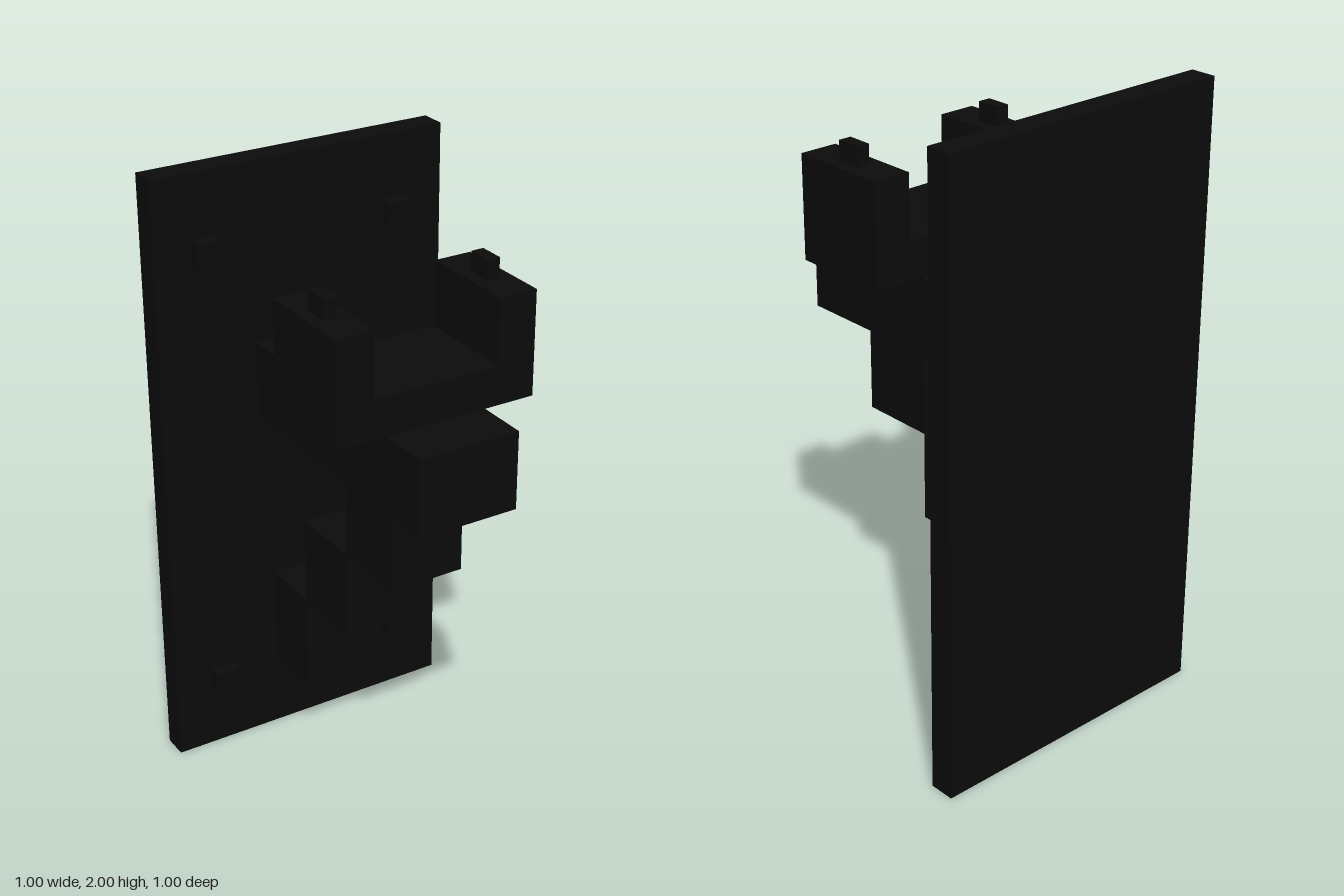
import * as THREE from 'three';

export function createModel() {
  const model = new THREE.Group();
  model.name = 'wallBracket';

  const black = new THREE.MeshStandardMaterial({ color: 0x0b0b0b });
  black.name = 'matte black';

  // The whole bracket sits on a grid of 1/24 unit; boxes are given by their limits
  const U = 1 / 24;
  function box(name, [x0, x1], [y0, y1], [z0, z1], parent = model) {
    const geometry = new THREE.BoxGeometry((x1 - x0) * U, (y1 - y0) * U, (z1 - z0) * U);
    const mesh = new THREE.Mesh(geometry, black);
    mesh.name = name;
    mesh.position.set((x0 + x1) / 2, (y0 + y1) / 2, (z0 + z1) / 2).multiplyScalar(U);
    parent.add(mesh);
  }
  const mirrored = (side, a, b) => (side > 0 ? [a, b] : [-b, -a]);

  // Wall plate and the arm reaching forward
  box('wallPlate', [-12, 12], [0, 48], [-12, -10]);
  box('arm', [-4, 4], [28, 34], [-10, 12]);

  // Stepped brace under the arm
  const brace = new THREE.Group();
  brace.name = 'steppedBrace';
  model.add(brace);
  box('lowerStep', [-3, 3], [6, 14], [-10, -5], brace);
  box('middleStep', [-3, 3], [14, 21], [-5, 1], brace);
  box('upperStep', [-3, 3], [21, 28], [1, 7], brace);

  // U-shaped cradle on the arm
  const cradle = new THREE.Group();
  cradle.name = 'cradle';
  model.add(cradle);
  box('cradleBase', [-5, 5], [34, 37], [0, 8], cradle);

  for (const side of [1, -1]) {
    const label = side > 0 ? 'left' : 'right';
    box(label + 'Prong', mirrored(side, 5, 8), [34, 42], [0, 8], cradle);
    box(label + 'ProngPeg', mirrored(side, 6, 7), [42, 43.5], [3, 5], cradle);
    // Square bolt heads on the plate
    box(label + 'UpperBolt', mirrored(side, 7, 9), [41, 43], [-10, -9]);
    box(label + 'LowerBolt', mirrored(side, 7, 9), [5, 7], [-10, -9]);
  }

  return model;
}
